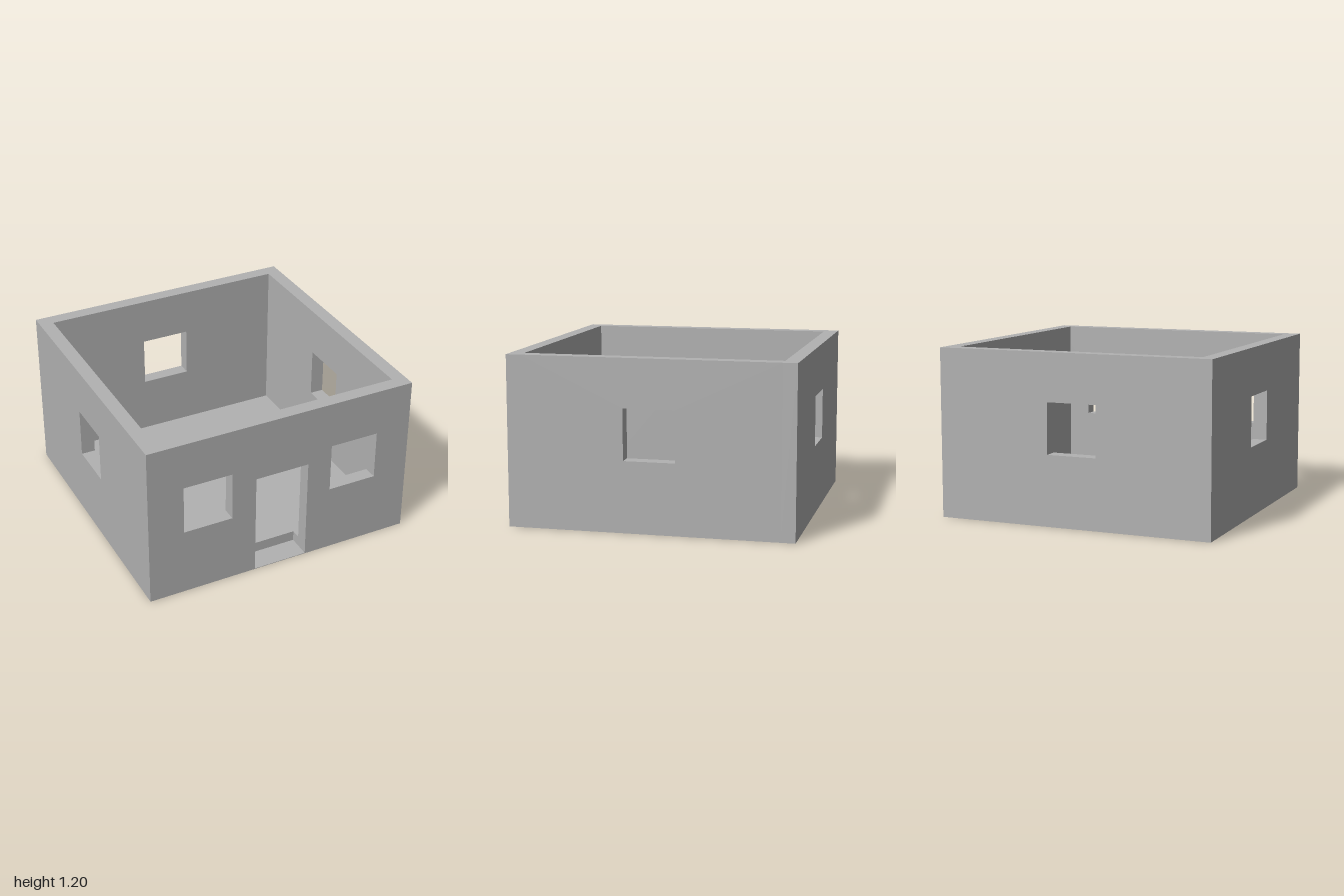
import * as THREE from 'three';

const HEIGHT = 1.2, HALF = 1, WALL = 0.1, INNER = HALF - WALL;
const FLOOR = 0.08, SILL = 0.5, LINTEL = 0.86, WINDOW = 0.36;
const DOOR_HALF = 0.2, DOOR_TOP = 0.765, STEP_BACK = 0.83, STEP_TOP = 0.004;

const toShape = (points) => new THREE.Shape(points.map(([x, y]) => new THREE.Vector2(x, y)));

// Wall panel with window holes at the given centres and an optional doorway
function wallGeometry(half, windows, hasDoor) {
  const door = hasDoor
    ? [[-DOOR_HALF, 0], [-DOOR_HALF, DOOR_TOP], [DOOR_HALF, DOOR_TOP], [DOOR_HALF, 0]]
    : [];
  const shape = toShape([[-half, 0], ...door, [half, 0], [half, HEIGHT], [-half, HEIGHT]]);
  for (const x of windows) {
    const a = x - WINDOW / 2, b = x + WINDOW / 2;
    shape.holes.push(toShape([[a, SILL], [a, LINTEL], [b, LINTEL], [b, SILL]]));
  }
  return new THREE.ExtrudeGeometry(shape, { depth: WALL, bevelEnabled: false });
}

export function createModel() {
  const model = new THREE.Group();
  model.name = 'roomShell';
  const plaster = new THREE.MeshStandardMaterial({ color: 0xb2b2b2 });
  plaster.name = 'grey plaster';

  const add = (name, geometry) => {
    const mesh = new THREE.Mesh(geometry, plaster);
    mesh.name = name;
    model.add(mesh);
    return mesh;
  };

  // Front and back walls span the full width
  add('frontWall', wallGeometry(HALF, [-0.56, 0.56], true)).position.z = INNER;
  add('backWall', wallGeometry(HALF, [0], false)).position.z = -HALF;

  // Side walls fit between them
  for (const [name, x] of [['leftWall', INNER], ['rightWall', -HALF]]) {
    const wall = add(name, wallGeometry(INNER, [0], false));
    wall.rotation.y = Math.PI / 2;
    wall.position.x = x;
  }

  // Floor slab, notched behind the doorway (shape y becomes -z)
  const slab = toShape([
    [-INNER, -INNER], [-DOOR_HALF, -INNER], [-DOOR_HALF, -STEP_BACK],
    [DOOR_HALF, -STEP_BACK], [DOOR_HALF, -INNER], [INNER, -INNER],
    [INNER, INNER], [-INNER, INNER],
  ]);
  add('floor', new THREE.ExtrudeGeometry(slab, { depth: FLOOR, bevelEnabled: false }))
    .rotation.x = -Math.PI / 2;

  // Thin threshold closing the bottom of the doorway
  add('threshold', new THREE.BoxGeometry(DOOR_HALF * 2, STEP_TOP, HALF - STEP_BACK))
    .position.set(0, STEP_TOP / 2, (HALF + STEP_BACK) / 2);

  return model;
}
